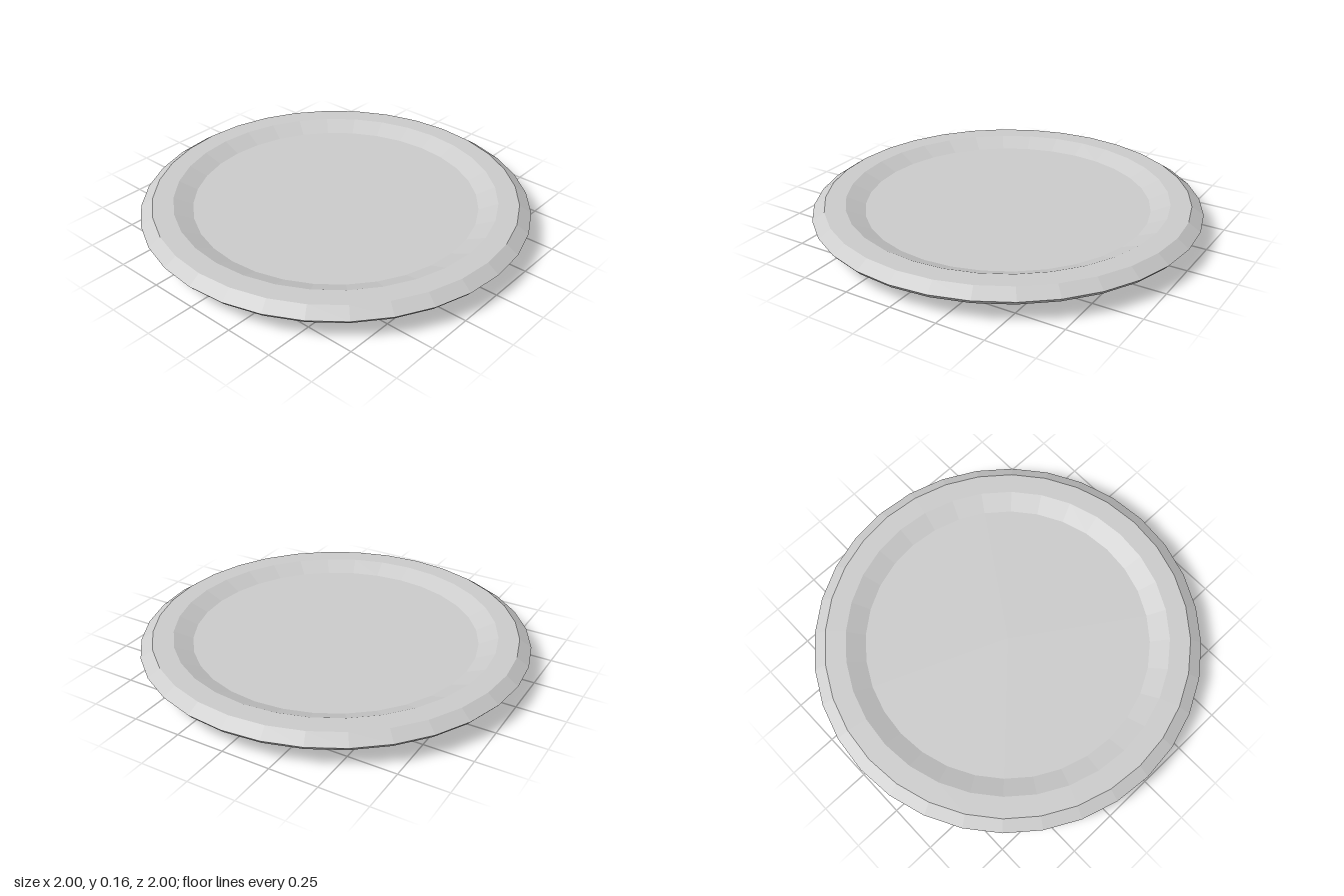
import * as THREE from 'three';

const SEGMENTS = 32;
const RIM_Y = 0.115;  // height of the widest ring and the inner floor
const TOP_Y = 0.157;  // height of the flat lip

export function createModel() {
  const group = new THREE.Group();
  group.name = 'dish';
  const material = new THREE.MeshStandardMaterial({ color: 0xcccccc, flatShading: true });

  const addLathe = (name, points) => {
    // Start angle puts a vertex on every axis
    const mesh = new THREE.Mesh(new THREE.LatheGeometry(points, SEGMENTS), material);
    mesh.name = name;
    group.add(mesh);
  };

  // Underside: shallow half ellipsoid, from the bottom pole to the widest ring
  const underside = [];
  for (let i = 0; i <= 8; i++) {
    const a = (i / 8) * Math.PI / 2;
    underside.push(new THREE.Vector2(Math.sin(a), RIM_Y * (1 - Math.cos(a))));
  }
  addLathe('underside', underside);

  // Rim: outer bevel, flat lip and inner slope
  addLathe('rim', [
    new THREE.Vector2(1, RIM_Y),
    new THREE.Vector2(0.938, TOP_Y),
    new THREE.Vector2(0.832, TOP_Y),
    new THREE.Vector2(0.735, RIM_Y),
  ]);

  // Flat floor inside the rim
  addLathe('floor', [
    new THREE.Vector2(0.735, RIM_Y),
    new THREE.Vector2(0, RIM_Y),
  ]);

  return group;
}
